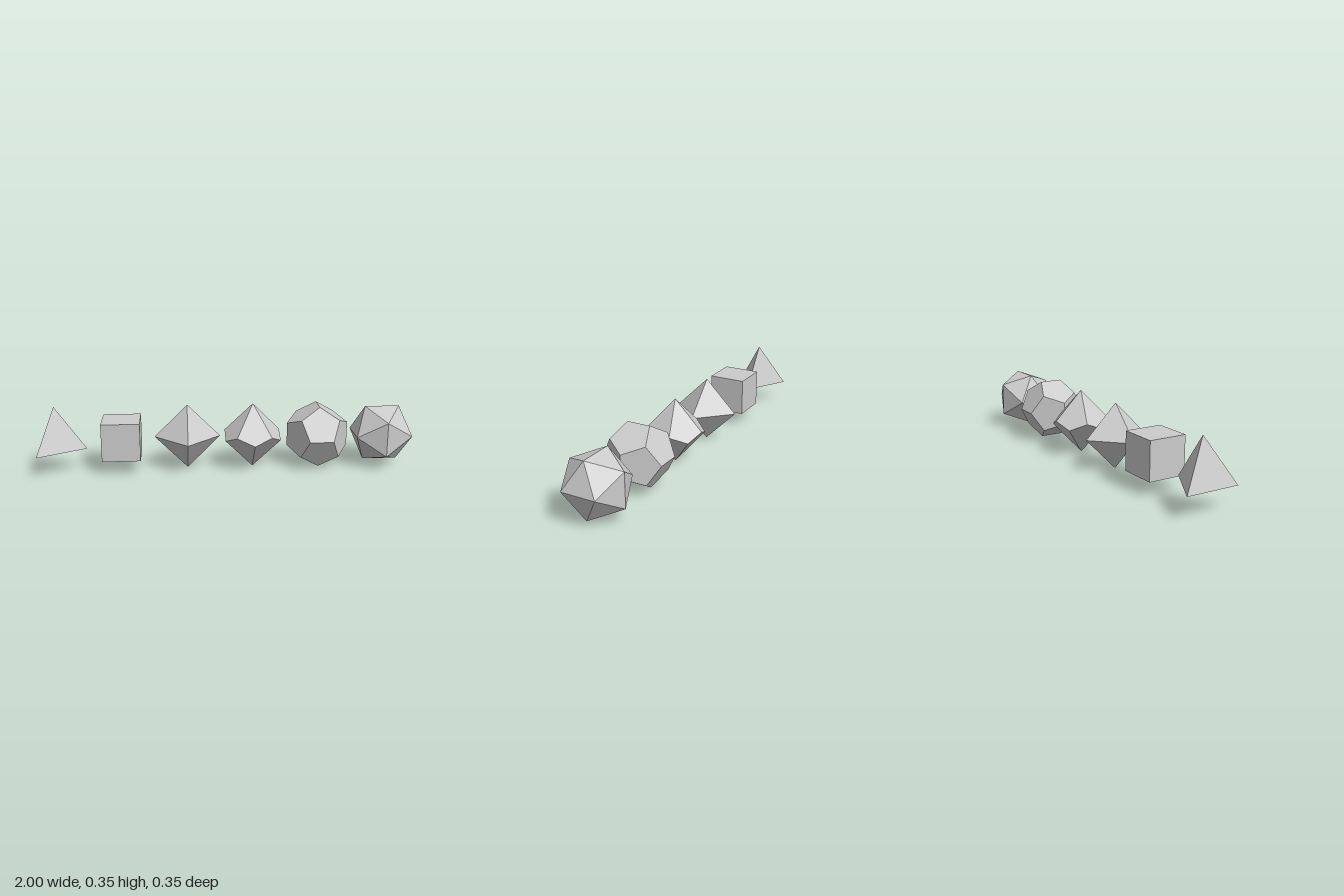
import * as THREE from 'three';

const R = 0.17665; // shared circumradius; solids sit one diameter apart

// Ten kite faces: two poles and a zigzag ring of ten points
function trapezohedron(height, ringRadius) {
  const lift = height * Math.tan(Math.PI / 10) ** 2; // keeps each kite flat
  const ring = (k) => {
    const a = (k * Math.PI) / 5;
    return [ringRadius * Math.sin(a), k % 2 === 0 ? -lift : lift, ringRadius * Math.cos(a)];
  };
  const top = [0, height, 0];
  const bottom = [0, -height, 0];
  const points = [];
  for (let k = 0; k < 10; k++) {
    const prev = ring(k - 1), mid = ring(k), next = ring(k + 1);
    if (k % 2 === 0) points.push(top, prev, mid, top, mid, next);
    else points.push(bottom, next, mid, bottom, mid, prev);
  }
  const geometry = new THREE.BufferGeometry();
  geometry.setAttribute('position', new THREE.Float32BufferAttribute(points.flat(), 3));
  geometry.computeVertexNormals();
  return geometry;
}

export function createModel() {
  const group = new THREE.Group();
  group.name = 'polyhedralDice';
  const material = new THREE.MeshStandardMaterial({ color: 0xcccccc, flatShading: true });

  // Tetrahedron: three-sided cone, one base corner towards +x
  const tetrahedron = new THREE.ConeGeometry(R * Math.sqrt(8) / 3, R * 4 / 3, 3)
    .rotateY(Math.PI / 2)
    .translate(0, R / 3, 0);
  const side = (2 * R) / Math.sqrt(3);

  const dice = [
    ['fourSidedDie', tetrahedron],
    ['sixSidedDie', new THREE.BoxGeometry(side, side, side)],
    ['eightSidedDie', new THREE.OctahedronGeometry(R)],
    ['tenSidedDie', trapezohedron(R, 0.157)],
    ['twelveSidedDie', new THREE.DodecahedronGeometry(R).rotateX(Math.PI / 2)],
    ['twentySidedDie', new THREE.IcosahedronGeometry(R)],
  ];

  // Line the dice up along x, all centred at the same height
  const startX = -1 + (R * Math.sqrt(2)) / 3;
  dice.forEach(([name, geometry], i) => {
    const die = new THREE.Mesh(geometry, material);
    die.name = name;
    die.position.set(startX + i * 2 * R, R, 0);
    group.add(die);
  });
  return group;
}
